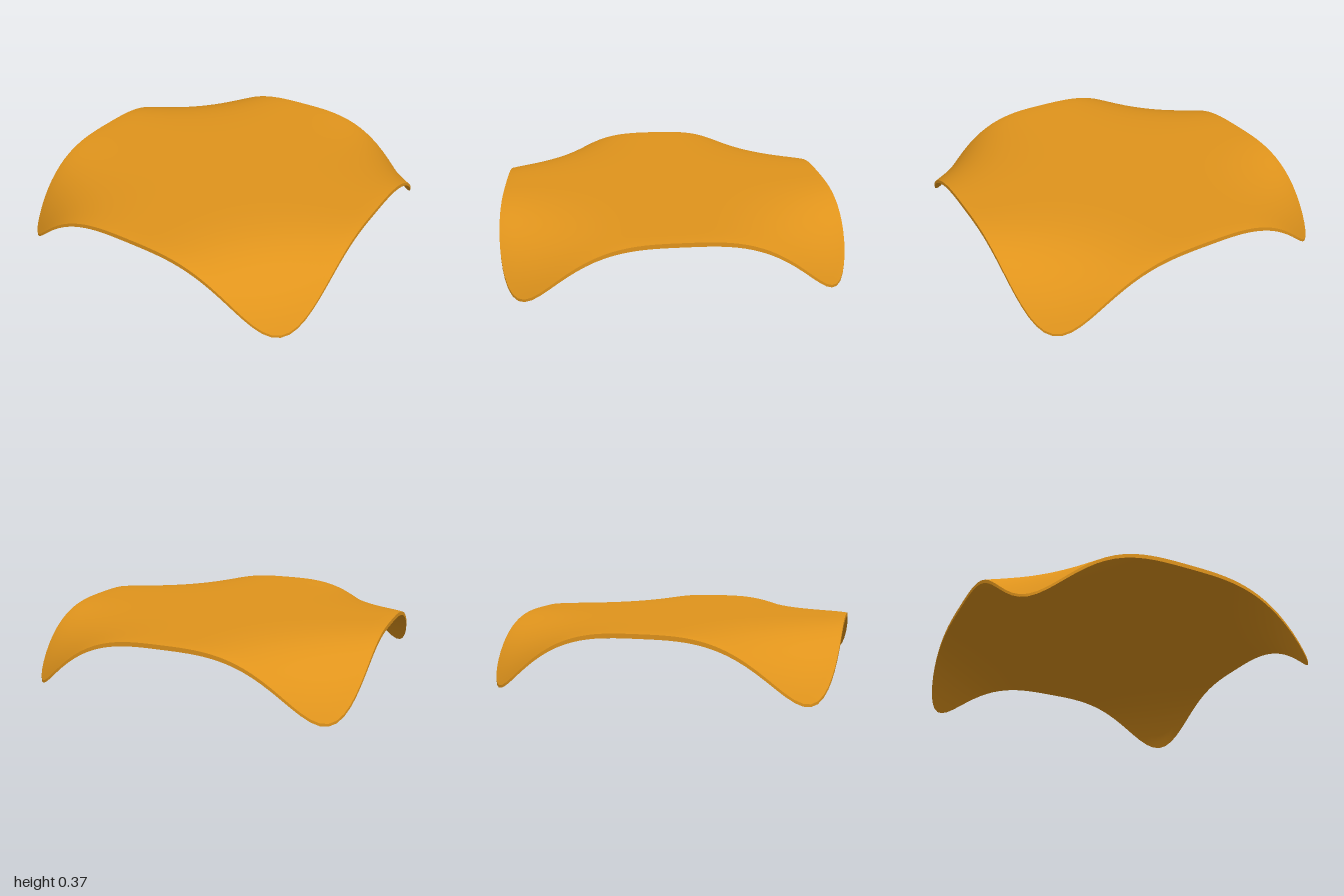
import * as THREE from 'three';

const TOP = 0.36, THICK = 0.025, DROP = 0.345, POWER = 3.1;
const SQUARENESS = 5.3, SEGMENTS = 160, RINGS = 48;
const CORNER = 2 ** (-2 / SQUARENESS); // |x * z| at the corner tips

// Superellipse outline: radius in a given direction
const outline = (a) =>
  (Math.abs(Math.cos(a)) ** SQUARENESS + Math.abs(Math.sin(a)) ** SQUARENESS) ** (-1 / SQUARENESS);

// Upper surface: flat in the middle, sweeping down to the four corners
function topPoint(t, a) {
  const r = t * outline(a), x = r * Math.cos(a), z = r * Math.sin(a);
  const y = TOP - DROP * (Math.abs(x * z) / CORNER) ** POWER - 0.005 * t ** 24;
  return new THREE.Vector3(x, y, z);
}

// Lower surface: same sheet, a little thinner vertically where it is steep
function bottomPoint(t, a) {
  const p = topPoint(t, a);
  p.y -= THICK * (1 - 0.4 * (Math.abs(p.x * p.z) / CORNER) ** 2);
  return p;
}

// Closed ring surface from a point rule; s runs 0..1 and the angle goes full circle
function ringSurface(rule, steps) {
  const positions = [], index = [];
  for (let i = 0; i <= steps; i++)
    for (let j = 0; j < SEGMENTS; j++)
      positions.push(...rule(i / steps, (j / SEGMENTS) * Math.PI * 2).toArray());
  for (let i = 0; i < steps; i++)
    for (let j = 0; j < SEGMENTS; j++) {
      const k = (j + 1) % SEGMENTS;
      const a = i * SEGMENTS + j, d = i * SEGMENTS + k;
      const b = a + SEGMENTS, c = d + SEGMENTS;
      if (rule(i / steps, 0).distanceTo(rule(i / steps, Math.PI)) > 1e-6) index.push(a, d, c);
      index.push(a, c, b);
      if (i === 0) index.push(a, d, c);
    }
  const geometry = new THREE.BufferGeometry();
  geometry.setAttribute('position', new THREE.Float32BufferAttribute(positions, 3));
  geometry.setIndex(index);
  geometry.computeVertexNormals();
  return geometry;
}

export function createModel() {
  const group = new THREE.Group();
  group.name = 'lowTable';
  const material = new THREE.MeshStandardMaterial({ color: 0xe0941c });
  const add = (name, geometry) => {
    const mesh = new THREE.Mesh(geometry, material);
    mesh.name = name;
    group.add(mesh);
  };

  // Top sheet with the four corner feet
  add('upperSurface', ringSurface(topPoint, RINGS));
  // Thin edge joining both faces
  add('rim', ringSurface((s, a) => topPoint(1, a).lerp(bottomPoint(1, a), s), 2));
  // Underside, from the edge back to the middle
  add('underside', ringSurface((s, a) => bottomPoint(1 - s, a), RINGS));

  // Stand on the ground
  const box = new THREE.Box3().setFromObject(group);
  group.children.forEach((m) => m.geometry.translate(0, -box.min.y, 0));
  return group;
}
